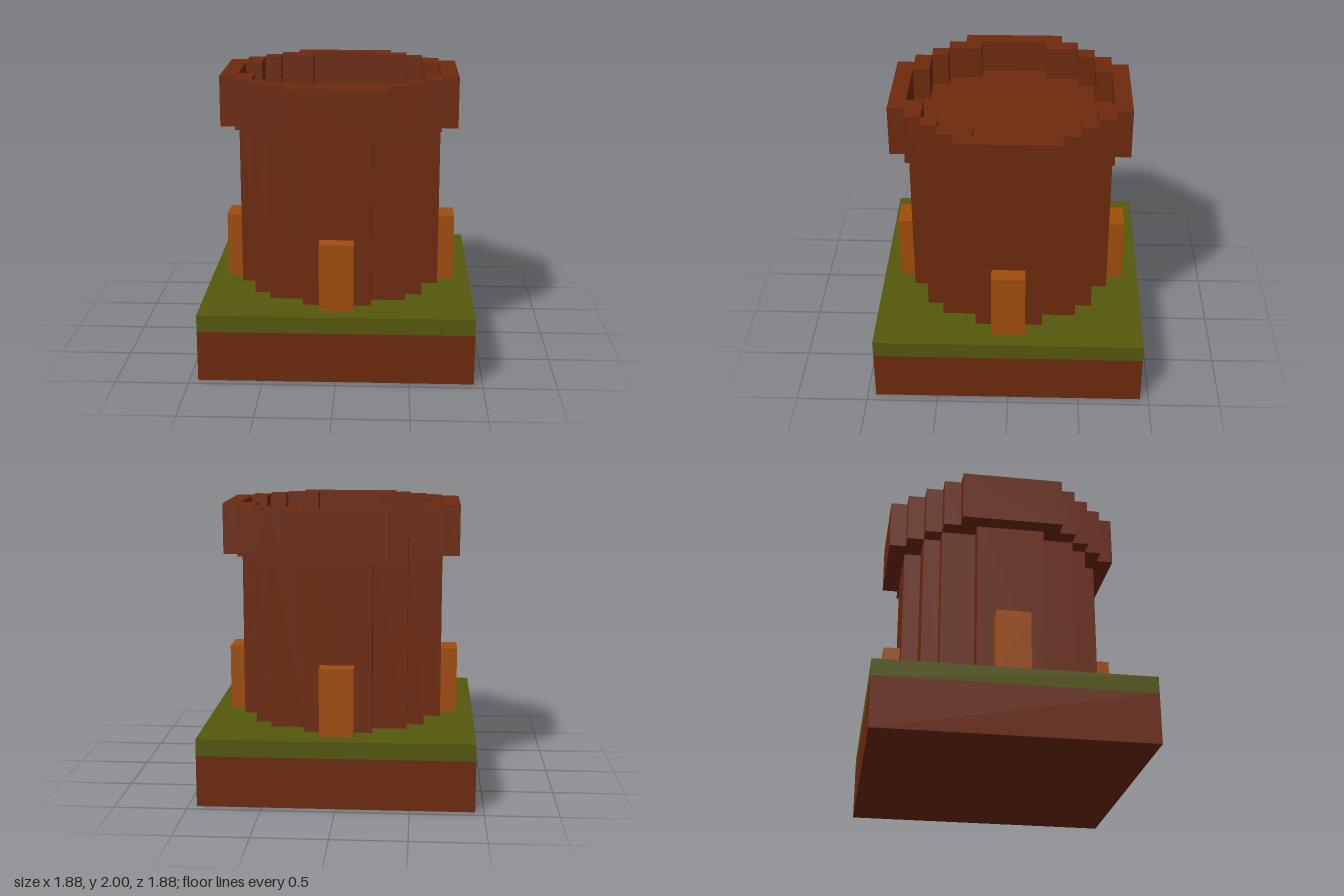
import * as THREE from 'three';

const U = 2 / 17; // one block

const clay = new THREE.MeshStandardMaterial({ color: 0x6e2a0d });
clay.name = 'red brown clay';
const grass = new THREE.MeshStandardMaterial({ color: 0x55580c });
grass.name = 'olive grass';
const wood = new THREE.MeshStandardMaterial({ color: 0xa14d0b });
wood.name = 'orange wood';

// Box given in blocks, standing on height y
function block(name, material, w, h, d, x, y, z) {
  const mesh = new THREE.Mesh(new THREE.BoxGeometry(w * U, h * U, d * U), material);
  mesh.position.set(x * U, (y + h / 2) * U, z * U);
  mesh.name = name;
  return mesh;
}

// Plan outline in blocks, raised from y0 to y1
function prism(name, points, y0, y1) {
  const shape = new THREE.Shape(points.map(([x, z]) => new THREE.Vector2(x * U, -z * U)));
  const geometry = new THREE.ExtrudeGeometry(shape, { depth: (y1 - y0) * U, bevelEnabled: false });
  geometry.rotateX(-Math.PI / 2);
  const mesh = new THREE.Mesh(geometry, clay);
  mesh.position.y = y0 * U;
  mesh.name = name;
  return mesh;
}

export function createModel() {
  const model = new THREE.Group();
  model.name = 'blockTower';

  // Ground slab
  model.add(block('soil', clay, 16, 3, 16, 0, 0, 0));
  model.add(block('turf', grass, 16, 1, 16, 0, 3, 0));

  // Stepped round shaft, its top is the sunken roof floor
  const quarter = [[6, 2], [5, 2], [5, 4], [4, 4], [4, 5], [2, 5], [2, 6]];
  const outline = [];
  for (let i = 0; i < 4; i++) {
    for (const [x, z] of quarter) {
      outline.push([[x, z], [-z, x], [-x, -z], [z, -x]][i]);
    }
  }
  model.add(prism('towerShaft', outline, 4, 15));

  // Each side: a parapet section, a corner post and a door
  const parapet = [
    [-3, 7], [3, 7], [3, 6], [4, 6], [4, 5], [2, 5],
    [2, 6], [-2, 6], [-2, 5], [-4, 5], [-4, 6], [-3, 6],
  ];
  for (let i = 0; i < 4; i++) {
    const side = new THREE.Group();
    side.name = 'towerSide' + (i + 1);
    side.add(prism('parapet', parapet, 14, 17));
    // The two stepped columns of the diagonal meet the parapet ends
    side.add(block('parapetCorner', clay, 1, 3, 1, 4.5, 14, 4.5));
    side.add(block('door', wood, 2, 4, 1, 0, 4, 6.5));
    side.rotation.y = (i * Math.PI) / 2;
    model.add(side);
  }
  return model;
}
